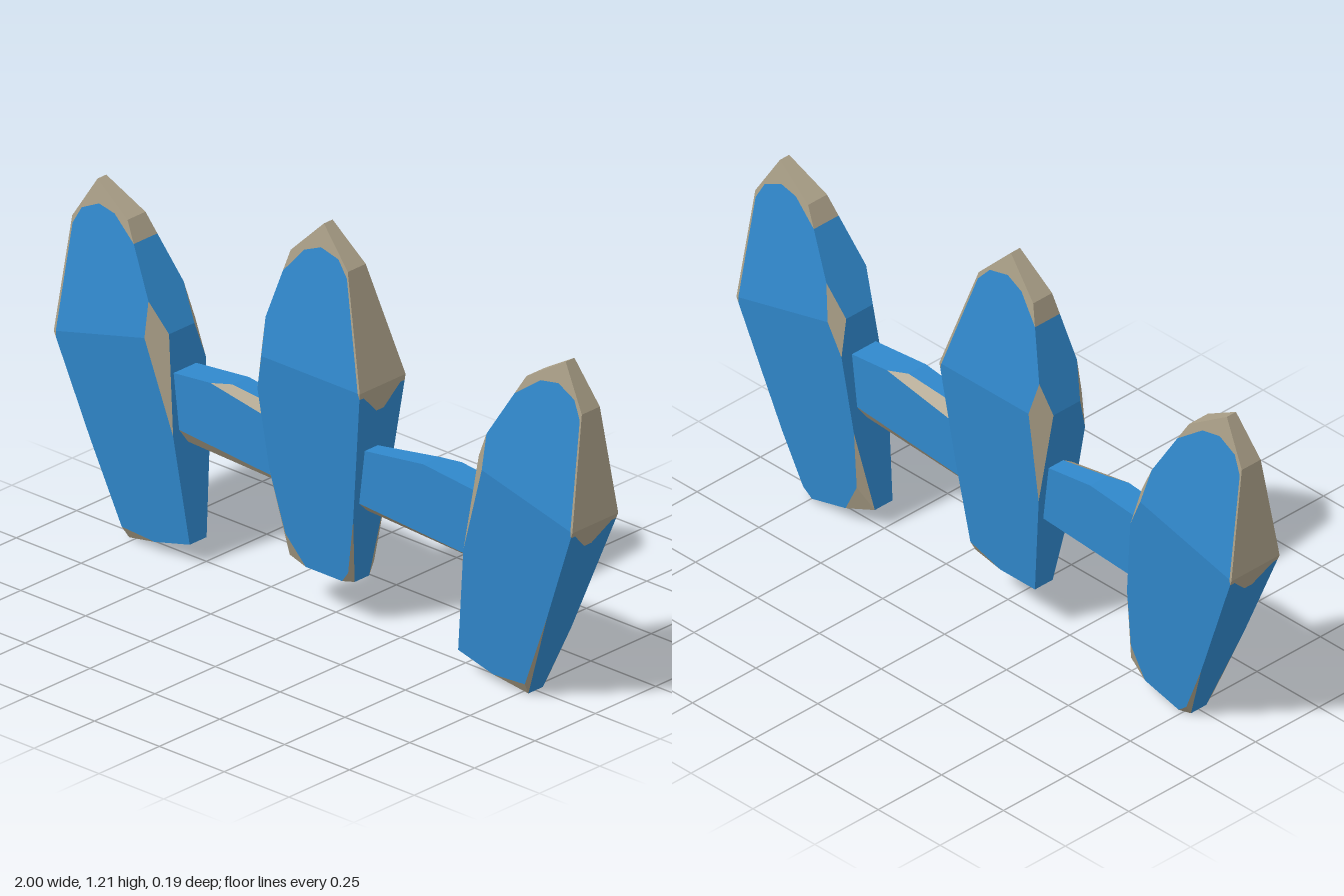
import * as THREE from 'three';

const bluePaint = new THREE.MeshStandardMaterial({ color: 0x3088cc });
const bareWood = new THREE.MeshStandardMaterial({ color: 0xaba088 });
const V = (p) => new THREE.Vector3(...p);

// Plane through three points, its normal facing away from the inner point
function plane(a, b, c, inner) {
  const pl = new THREE.Plane().setFromCoplanarPoints(V(a), V(b), V(c));
  return pl.distanceToPoint(inner) > 0 ? pl.negate() : pl;
}
// Upright plane along a line in x and y
const wall = (a, b, inner) => plane([...a, 0], [...b, 0], [...b, 1], inner);

// Divide a polygon into the parts behind and in front of a plane
function split(pts, pl) {
  const inside = [], outside = [], rim = [];
  pts.forEach((p, i) => {
    const q = pts[(i + 1) % pts.length];
    const d = pl.distanceToPoint(p), e = pl.distanceToPoint(q);
    if (d <= 1e-7) inside.push(p);
    if (d >= -1e-7) outside.push(p);
    if (Math.abs(d) <= 1e-7) rim.push(p);
    if ((d > 1e-7 && e < -1e-7) || (d < -1e-7 && e > 1e-7)) {
      const m = p.clone().lerp(q, d / (d - e));
      inside.push(m);
      outside.push(m);
      rim.push(m);
    }
  });
  return { inside, outside, rim };
}

// A convex block that can be carved and painted
class Block {
  constructor(size, centre) {
    this.inner = V(centre);
    const pos = new THREE.BoxGeometry(...size).translate(...centre).attributes.position;
    this.faces = [];
    for (let f = 0; f < 24; f += 4) {
      this.faces.push({
        pts: [0, 2, 3, 1].map((k) => new THREE.Vector3().fromBufferAttribute(pos, f + k)),
        mat: bareWood,
      });
    }
  }
  // Slice off everything in front of a plane and close the gap
  cut(pl, mat = bareWood) {
    const rim = [], kept = [];
    for (const { pts, mat: m } of this.faces) {
      const s = split(pts, pl);
      for (const p of s.rim) if (!rim.some((q) => q.distanceTo(p) < 1e-5)) rim.push(p);
      if (s.inside.length > 2) kept.push({ pts: s.inside, mat: m });
    }
    this.faces = kept;
    if (rim.length < 3) return;
    const c = rim.reduce((s, p) => s.add(p), new THREE.Vector3()).divideScalar(rim.length);
    const u = rim[0].clone().sub(c).normalize();
    const w = pl.normal.clone().cross(u);
    const angle = (p) => Math.atan2(p.clone().sub(c).dot(w), p.clone().sub(c).dot(u));
    rim.sort((a, b) => angle(a) - angle(b));
    this.faces.push({ pts: rim, mat });
  }
  // Recolour the surface lying behind all the planes
  paint(planes, mat) {
    const result = [];
    for (const f of this.faces) {
      let pts = f.pts;
      for (const pl of planes) {
        if (pts.length < 3) break;
        const s = split(pts, pl);
        if (s.outside.length > 2) result.push({ pts: s.outside, mat: f.mat });
        pts = s.inside;
      }
      if (pts.length > 2) result.push({ pts, mat });
    }
    this.faces = result;
  }
  // One flat-shaded mesh for each colour; flip mirrors front to back
  build(name, flip = false) {
    const group = new THREE.Group();
    group.name = name;
    for (const [mat, label] of [[bluePaint, 'Paint'], [bareWood, 'BareWood']]) {
      const out = [];
      for (const f of this.faces) {
        if (f.mat !== mat) continue;
        const pts = flip ? f.pts.map((p) => V([p.x, p.y, -p.z])).reverse() : f.pts;
        for (let i = 1; i < pts.length - 1; i++) {
          for (const p of [pts[0], pts[i], pts[i + 1]]) out.push(p.x, p.y, p.z);
        }
      }
      const geo = new THREE.BufferGeometry();
      geo.setAttribute('position', new THREE.Float32BufferAttribute(out, 3));
      geo.computeVertexNormals();
      const mesh = new THREE.Mesh(geo, mat);
      mesh.name = name + label;
      group.add(mesh);
    }
    return group;
  }
}

function picketBlock() {
  const b = new Block([2, 3, 1], [-0.03, 0.7, 0]);
  const inner = b.inner;
  // Outline
  const outline = [[-0.03, 1.21], [0.08, 1.1], [0.18, 0.77], [0.1, 0.14], [-0.16, 0.14], [-0.235, 0.77], [-0.14, 1.1]];
  outline.forEach((p, i) => b.cut(wall(p, outline[(i + 1) % outline.length], inner)));
  // Front and back, thickest at the ridge
  for (const s of [1, -1]) {
    for (const [y, z] of [[1.21, 0.018], [0.14, 0.05]]) {
      b.cut(plane([0, 0.77, s * 0.095], [1, 0.77, s * 0.095], [0, y, s * z], inner));
    }
  }
  // Paint, worn away around the tip and along one upper edge
  const wear = [[0.172, 0.77], [0.08, 1.08], [0.04, 1.125], [-0.03, 1.14], [-0.09, 1.115], [-0.145, 1.05]];
  b.paint(wear.slice(1).map((p, i) => wall(wear[i], p, inner)), bluePaint);
  // Worn point running down the outer side
  const above = V([0.18, 2, 0]);
  b.paint([
    plane([0, 0.69, 0.015], [1, 0.69, 0.015], [0, 0.77, 0.095], above),
    plane([0, 0.69, -0.015], [1, 0.69, -0.015], [0, 0.77, -0.095], above),
    plane([0, 0.69, 0], [1, 0.69, 0], [0, 0.69, 1], above),
    wall([0.177, 0.77], [0.097, 0.14], V([1, 0.5, 0])),
  ], bareWood);
  // Chipped edges
  const chips = [
    [[-0.18, 0.76, -0.095], [-0.199, 0.47, -0.074], [-0.235, 0.77, -0.05]],
    [[-0.2, 0.77, 0.095], [-0.222, 0.66, 0.087], [-0.235, 0.77, 0.055]],
    [[-0.195, 0.42, 0.07], [-0.14, 0.21, 0.055], [-0.16, 0.14, 0.02]],
    [[-0.14, 0.22, 0.056], [-0.07, 0.14, 0.05], [-0.16, 0.14, 0.02]],
    [[0.125, 0.34, 0.064], [0.095, 0.17, 0.052], [0.1, 0.14, 0.03]],
    [[0.1, 0.18, 0.053], [0.07, 0.14, 0.05], [0.1, 0.14, 0.03]],
    [[0.138, 0.44, -0.0714], [0.095, 0.16, -0.0515], [0.1, 0.14, -0.03]],
    [[0.1, 0.18, -0.053], [-0.02, 0.14, -0.05], [0.1, 0.14, -0.03]],
  ];
  for (const c of chips) b.cut(plane(...c, inner));
  return b;
}

function railBlock() {
  const b = new Block([0.465, 0.235, 0.094], [0.3525, 0.4825, 0]);
  const inner = b.inner;
  // Gently peaked top
  b.cut(wall([0.13, 0.567], [0.38, 0.6], inner));
  b.cut(wall([0.38, 0.6], [0.585, 0.58], inner));
  b.paint([], bluePaint);
  // Chipped top and bottom edges
  const chips = [
    [[0.44, 0.594, -0.047], [0.33, 0.575, -0.047], [0.2, 0.576, -0.01]],
    [[0.56, 0.41, -0.047], [0.2, 0.38, -0.047], [0.4, 0.365, -0.025]],
    [[0.13, 0.4, 0.047], [0.55, 0.372, 0.047], [0.3, 0.365, 0.022]],
  ];
  for (const c of chips) b.cut(plane(...c, inner));
  return b;
}

export function createModel() {
  const model = new THREE.Group();
  model.name = 'picketFence';
  const picket = picketBlock(), rail = railBlock();
  const tilt = THREE.MathUtils.degToRad(-14);

  // Upright middle picket and two leaning outwards
  const middle = picket.build('middlePicket');
  const left = picket.build('leftPicket', true);
  left.position.set(0.639, -0.107, 0);
  left.rotation.z = tilt;
  const right = picket.build('rightPicket');
  right.position.set(-0.639, -0.107, 0);
  right.rotation.set(0, Math.PI, tilt);

  // Rails, the second turned end for end
  const leftRail = rail.build('leftRail');
  const rightRail = rail.build('rightRail');
  rightRail.rotation.y = Math.PI;

  model.add(middle, left, right, leftRail, rightRail);
  return model;
}
